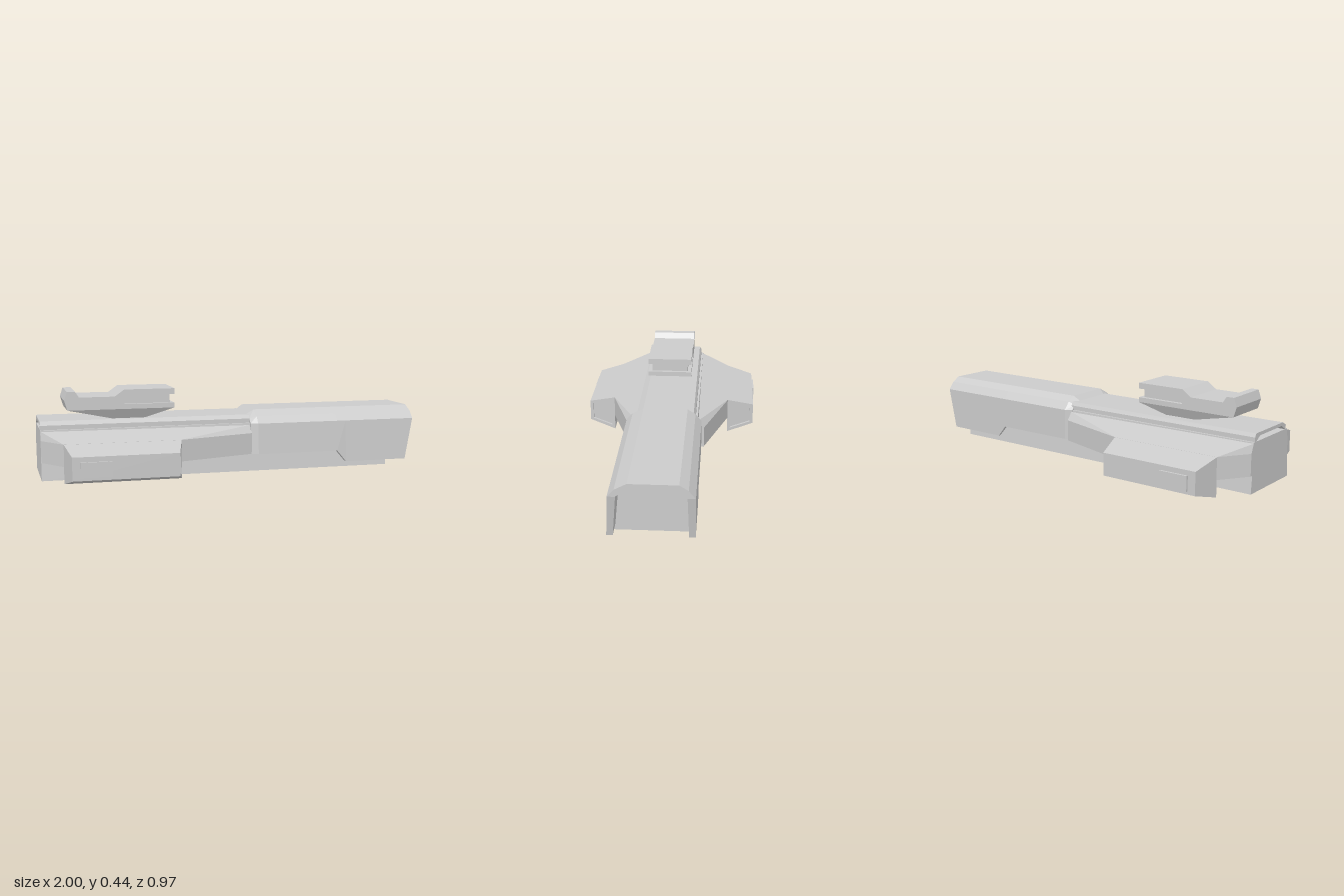
import * as THREE from 'three';
import { ConvexGeometry } from 'three/addons/geometries/ConvexGeometry.js';

const grey = new THREE.MeshStandardMaterial({ color: 0xcccccc, flatShading: true });

function part(name, geometry) {
  const mesh = new THREE.Mesh(geometry, grey);
  mesh.name = name;
  return mesh;
}

const convex = (name, points) =>
  part(name, new ConvexGeometry(points.map((p) => new THREE.Vector3(...p))));

// Joins equal rings of points. Caps pair first and last points, so a ring
// may be a simple quad or an arch (outer line there, inner line back).
function loft(name, rings) {
  const tris = [];
  const n = rings[0].length;
  const quad = (a, b, c, d) => tris.push([a, b, c], [a, c, d]);
  for (let r = 0; r < rings.length - 1; r++) {
    for (let i = 0; i < n; i++) {
      const j = (i + 1) % n;
      quad(rings[r][i], rings[r][j], rings[r + 1][j], rings[r + 1][i]);
    }
  }
  const first = rings[0];
  const last = rings[rings.length - 1];
  for (let i = 0; i < n / 2 - 1; i++) {
    quad(first[i], first[n - 1 - i], first[n - 2 - i], first[i + 1]);
    quad(last[i], last[i + 1], last[n - 2 - i], last[n - 1 - i]);
  }
  // Turn the faces outward if the signed volume is negative
  let volume = 0;
  for (const [a, b, c] of tris) {
    volume += new THREE.Vector3(...a).dot(new THREE.Vector3(...b).cross(new THREE.Vector3(...c)));
  }
  if (volume < 0) tris.forEach((t) => t.reverse());
  const geometry = new THREE.BufferGeometry();
  geometry.setAttribute('position', new THREE.Float32BufferAttribute(tris.flat(2), 3));
  geometry.computeVertexNormals();
  return part(name, geometry);
}

function box(name, x0, x1, y0, y1, z0, z1) {
  const geometry = new THREE.BoxGeometry(x1 - x0, y1 - y0, z1 - z0);
  geometry.translate((x0 + x1) / 2, (y0 + y1) / 2, (z0 + z1) / 2);
  return part(name, geometry);
}

// Profile in x and y, extruded along z
function slab(name, points, z0, z1) {
  const shape = new THREE.Shape(points.map((p) => new THREE.Vector2(...p)));
  const geometry = new THREE.ExtrudeGeometry(shape, { depth: z1 - z0, bevelEnabled: false });
  geometry.translate(0, 0, z0);
  return part(name, geometry);
}

// Arched section of the nose cover, as [z, y]
function hoodRing(x, bottom, { top = 0.315, narrow = 1, slant = 0 } = {}) {
  const lift = (y) => 0.25 + (y - 0.25) * (top - 0.25) / 0.065;
  const outer = [[0.222, bottom], [0.21, 0.25], [0.178, lift(0.285)], [0.12, top],
    [-0.113, top], [-0.155, lift(0.289)], [-0.187, 0.25], [-0.187, bottom]];
  const inner = [[0.192, bottom], [0.172, 0.25], [0.15, lift(0.27)], [0.118, top - 0.025],
    [-0.105, top - 0.025], [-0.13, lift(0.27)], [-0.15, 0.25], [-0.157, bottom]];
  return [...outer, ...inner.reverse()].map(([z, y]) =>
    [x - slant * Math.max(0, (0.25 - y) / 0.22), y, z * narrow]);
}

// Arched section of the rear hull with a stepped shoulder
function hullRing(x) {
  const outer = [[0.187, 0.09], [0.172, 0.25], [0.158, 0.25], [0.158, 0.272], [0.125, 0.29],
    [-0.145, 0.29], [-0.155, 0.272], [-0.155, 0.25], [-0.166, 0.25], [-0.18, 0.09]];
  const inner = [[0.165, 0.09], [0.155, 0.24], [0.15, 0.25], [0.145, 0.255], [0.115, 0.273],
    [-0.105, 0.273], [-0.135, 0.255], [-0.14, 0.25], [-0.145, 0.24], [-0.157, 0.09]];
  return [...outer, ...inner.reverse()].map(([z, y]) => [x, y, z]);
}

function sidePod(side, label) {
  const pod = new THREE.Group();
  pod.name = label + 'Pod';
  // Front face leans back as it goes outward
  const front = (z) => -0.315 - (z - 0.325) * 0.27;
  const body = [[0.325, 0.005], [0.472, 0.045], [0.472, 0.16], [0.325, 0.2]];
  const inset = [[0.341, 0.027], [0.454, 0.055], [0.454, 0.148], [0.341, 0.175]];
  const ring = (section, xAt) => section.map(([z, y]) => [xAt(z), y, z * side]);
  pod.add(loft('podBody', [
    ring(body, (z) => -0.9 + (z - 0.325) * 0.17),
    ring(body, front),
    ring(inset, front),
    ring(inset, (z) => front(z) - 0.015),
  ]));
  // Raised hatch on the outer side
  const z = [0.46 * side, 0.483 * side].sort((a, b) => a - b);
  pod.add(box('podHatch', -0.835, -0.685, 0.06, 0.135, ...z));
  return pod;
}

function wing(side, label) {
  const points = [
    [-1, 0.245, 0.165], [0.09, 0.24, 0.17], [-1, 0.2, 0.185], [0.09, 0.2, 0.2],
    [-1, 0.09, 0.185], [0.09, 0.09, 0.2], [-1, 0.09, 0.165], [0.09, 0.09, 0.165],
    [-0.9, 0.2, 0.327], [-0.32, 0.2, 0.327], [-0.9, 0.09, 0.327], [-0.32, 0.09, 0.327],
  ];
  return convex(label + 'Wing', points.map(([x, y, z]) => [x, y, z * side]));
}

function bridge() {
  const group = new THREE.Group();
  group.name = 'bridge';
  const z0 = -0.115;
  const z1 = 0.128;
  // Tapered foot
  group.add(convex('bridgeFoot', [
    [-0.86, 0.34, z0], [-0.86, 0.34, z1], [-0.31, 0.34, z0], [-0.31, 0.34, z1],
    [-0.63, 0.29, -0.09], [-0.63, 0.29, 0.1], [-0.46, 0.29, -0.09], [-0.46, 0.29, 0.1],
  ]));
  // Main deck with raised tail lip and a forward roof over a recessed band
  group.add(slab('bridgeDeck', [
    [-0.86, 0.34], [-0.31, 0.34], [-0.31, 0.365], [-0.57, 0.365], [-0.57, 0.41],
    [-0.31, 0.41], [-0.31, 0.44], [-0.57, 0.44], [-0.62, 0.405], [-0.8, 0.405],
    [-0.82, 0.435], [-0.86, 0.435], [-0.875, 0.39],
  ], z0, z1));
  group.add(box('bridgeBand', -0.58, -0.33, 0.36, 0.415, -0.094, 0.107));
  return group;
}

export function createModel() {
  const model = new THREE.Group();
  model.name = 'spaceship';

  // Long keel block with sloped sides
  const keel = [[0.2, 0], [0.172, 0.25], [-0.155, 0.25], [-0.178, 0]];
  model.add(convex('keel', keel.flatMap(([z, y]) => [[-1, y, z], [0.85, y, z]])));

  model.add(loft('rearHull', [hullRing(-1), hullRing(0.1)]));

  // Nose cover, open at the front, with deeper cheeks near the tip
  model.add(loft('noseCover', [
    hoodRing(0.085, 0.09, { top: 0.29, narrow: 0.9 }),
    hoodRing(0.12, 0.09),
    hoodRing(0.56, 0.09),
    hoodRing(0.61, 0.03),
    hoodRing(1, 0.03, { slant: 0.045 }),
  ]));

  for (const [side, label] of [[1, 'front'], [-1, 'back']]) {
    model.add(wing(side, label), sidePod(side, label));
  }
  model.add(bridge());
  return model;
}
